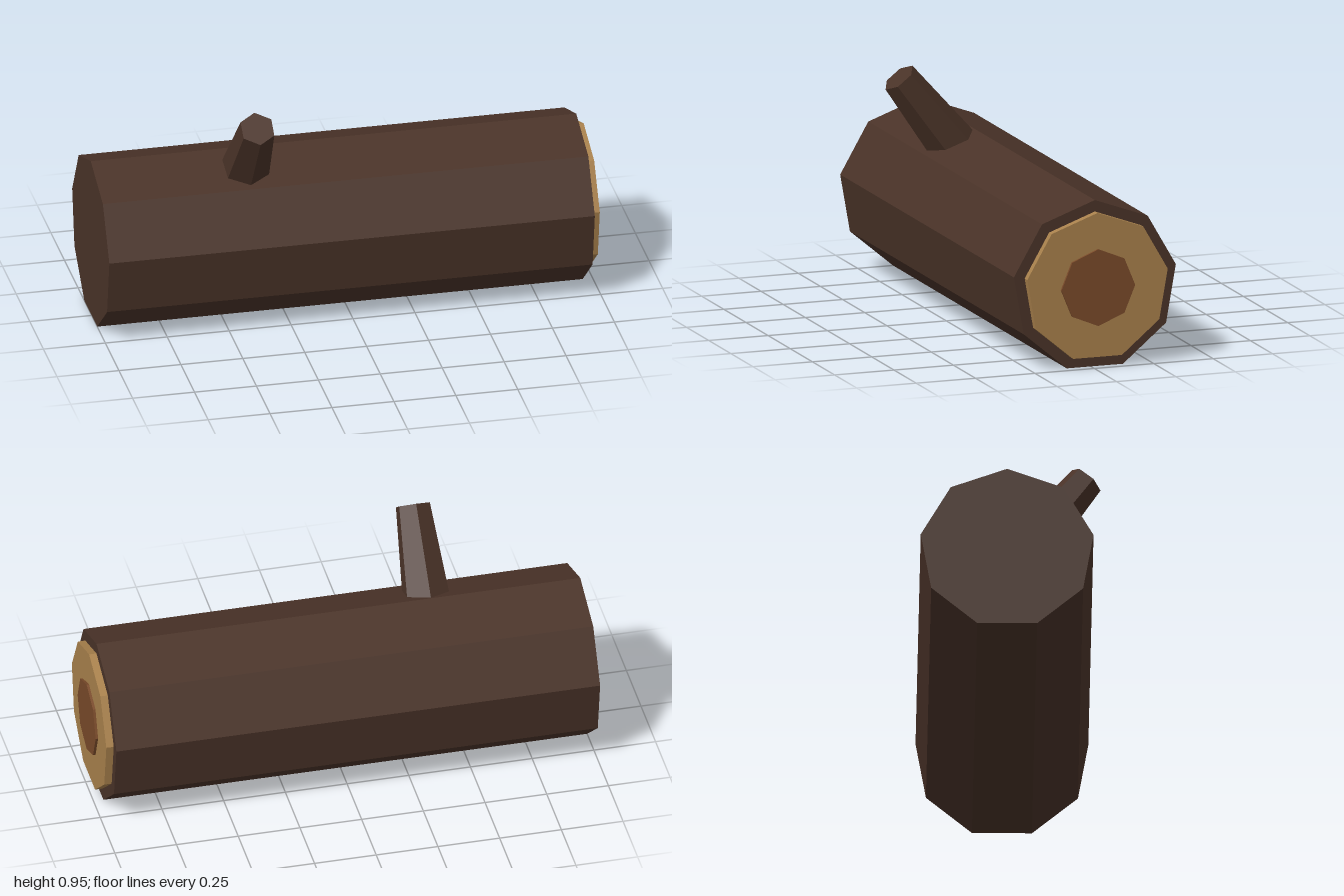
import * as THREE from 'three';

const material = (name, color) => {
  const m = new THREE.MeshStandardMaterial({ color, flatShading: true });
  m.name = name;
  return m;
};

export function createModel() {
  const bark = material('bark brown', 0x4a3328);
  const sapwood = material('cut wood tan', 0xa9814c);
  const heartwood = material('heartwood brown', 0x794a29);

  const log = new THREE.Group();
  log.name = 'log';

  // Prism lying along x from x0 to x1, with one corner pointing up
  const addPrism = (name, radius, sides, x0, x1, mat) => {
    const geometry = new THREE.CylinderGeometry(radius, radius, x1 - x0, sides, 1, false, -Math.PI / 2);
    geometry.rotateZ(-Math.PI / 2);
    const mesh = new THREE.Mesh(geometry, mat);
    mesh.name = name;
    mesh.position.set((x0 + x1) / 2, 0.326, -0.017);
    log.add(mesh);
  };

  // Trunk and the stepped rings on its cut end
  addPrism('trunk', 0.346, 9, -1, 0.96, bark);
  addPrism('cutFace', 0.3, 9, 0.93, 0.99, sapwood);
  addPrism('heartwood', 0.155, 8, 0.96, 1, heartwood);

  // Tapered branch stub leaning forward, its base sunk into the trunk
  const length = 0.48;
  const stub = new THREE.CylinderGeometry(0.0716, 0.107, length, 6);
  stub.translate(0, -length / 2, 0);
  const branch = new THREE.Mesh(stub, bark);
  branch.name = 'branchStub';
  branch.rotation.x = 0.663;
  branch.position.set(-0.397, 0.904, 0.301);
  log.add(branch);

  return log;
}
